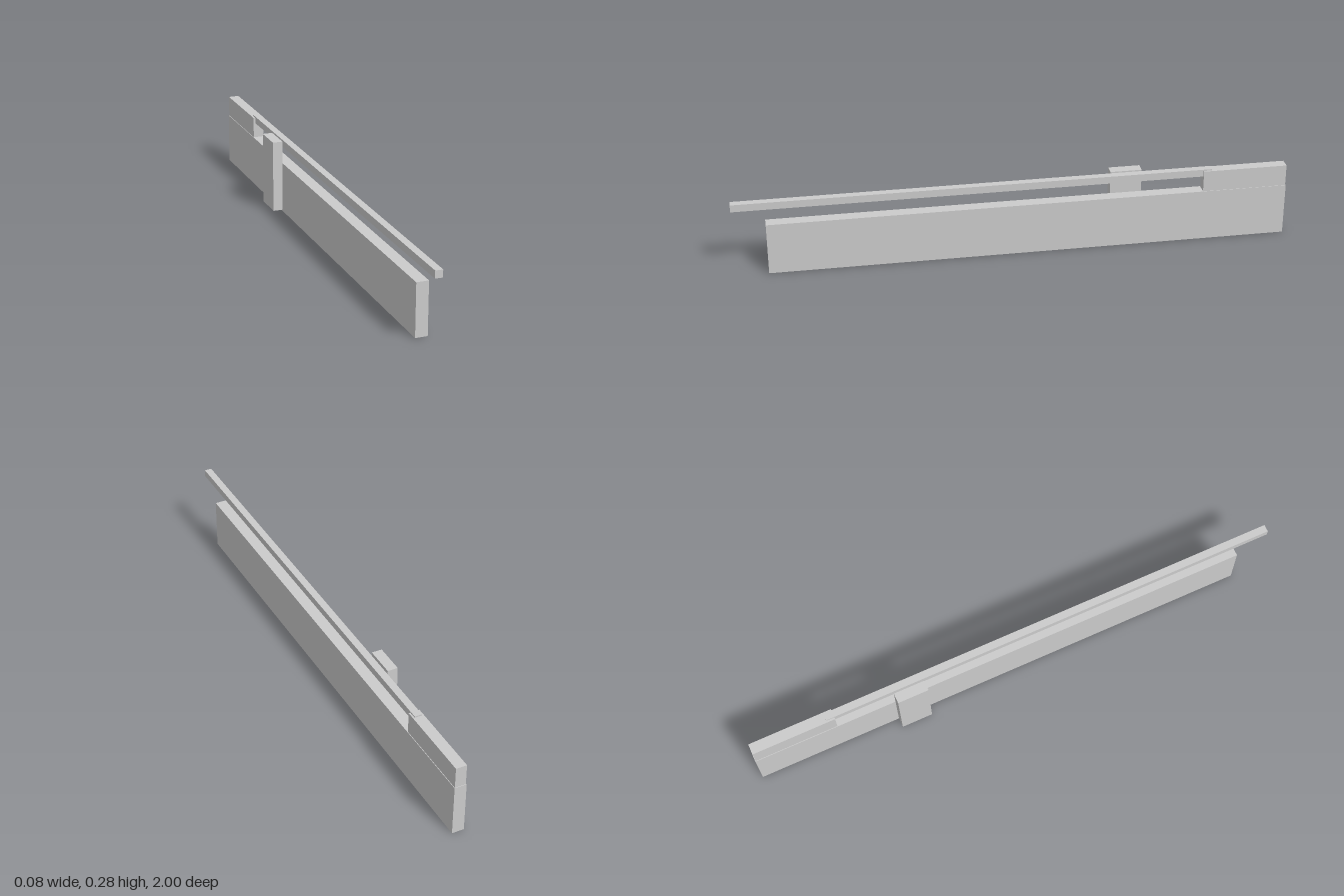
import * as THREE from 'three';

export function createModel() {
  const model = new THREE.Group();
  const material = new THREE.MeshStandardMaterial({ color: 0xcccccc, flatShading: true });

  // Adds a box given its extents along each axis
  function addBox(name, [x0, x1], [y0, y1], [z0, z1]) {
    const mesh = new THREE.Mesh(new THREE.BoxGeometry(x1 - x0, y1 - y0, z1 - z0), material);
    mesh.position.set((x0 + x1) / 2, (y0 + y1) / 2, (z0 + z1) / 2);
    mesh.name = name;
    model.add(mesh);
  }

  // Long main slab
  addBox('body', [-0.004, 0.04], [0, 0.192], [-1, 0.882]);
  // Raised block at the rear, slightly narrower than the slab
  addBox('rearBlock', [-0.002, 0.038], [0.192, 0.271], [-0.998, -0.69]);
  // Thin rod running forward from the rear block
  addBox('rod', [0.005, 0.032], [0.249, 0.276], [-0.72, 1]);
  // Upright plate on the right side
  addBox('sidePlate', [-0.041, -0.003], [0.005, 0.277], [-0.469, -0.354]);

  return model;
}
